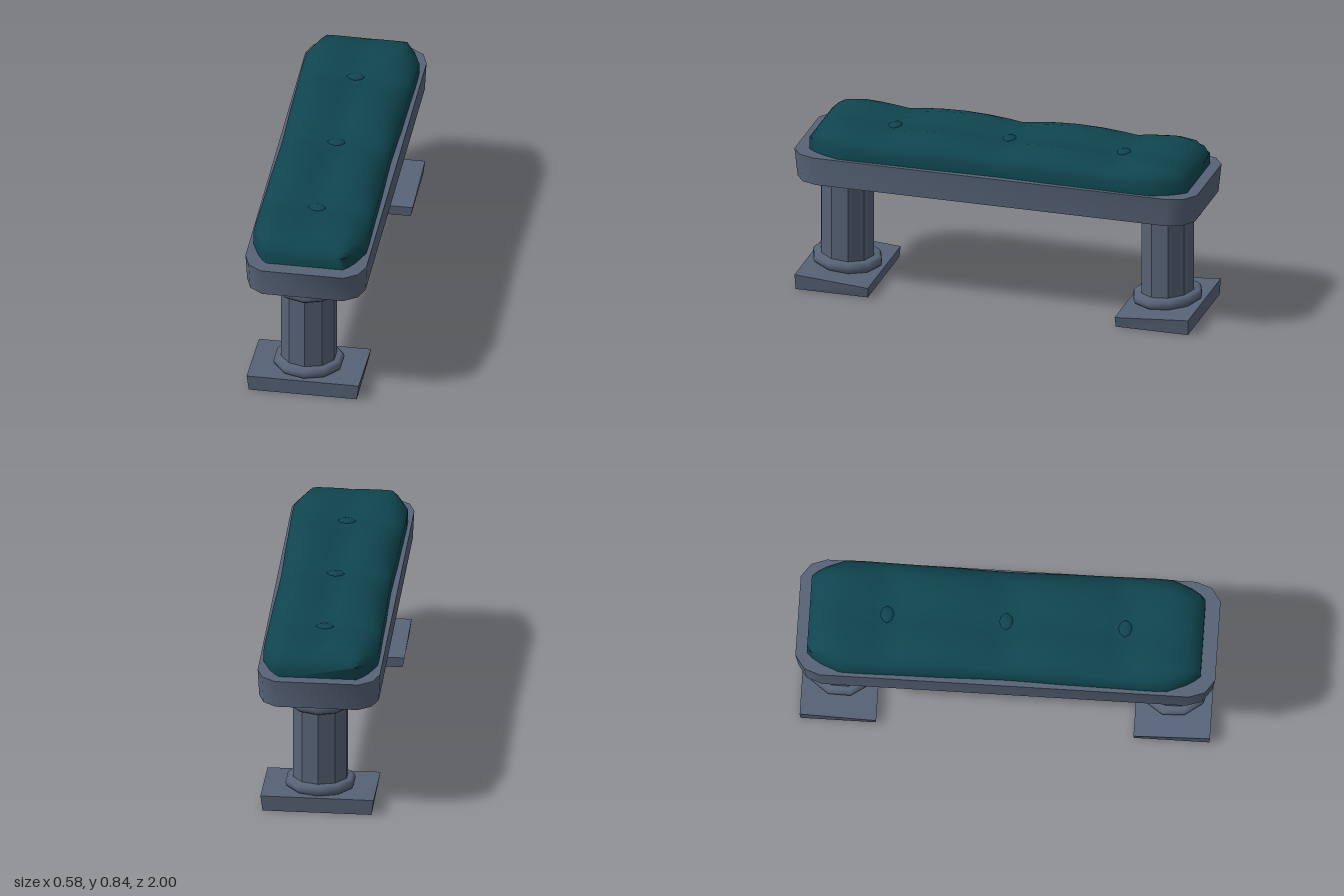
import * as THREE from 'three';
import { toCreasedNormals } from 'three/addons/utils/BufferGeometryUtils.js';

// Apply a rule to every vertex of a geometry
function warp(geometry, rule) {
  const pos = geometry.attributes.position;
  const v = new THREE.Vector3();
  for (let i = 0; i < pos.count; i++) {
    rule(v.fromBufferAttribute(pos, i));
    pos.setXYZ(i, v.x, v.y, v.z);
  }
  return geometry;
}

// Seat slab: cut-corner plan, slightly narrower underneath
function slabGeometry() {
  const corner = [[0.292, 0.88], [0.265, 0.955], [0.2, 1]];
  const back = [...corner].reverse();
  const plan = [
    ...corner,
    ...back.map(([x, y]) => [-x, y]),
    ...corner.map(([x, y]) => [-x, -y]),
    ...back.map(([x, y]) => [x, -y]),
  ].map(([x, y]) => new THREE.Vector2(x, y));
  const g = new THREE.ExtrudeGeometry(new THREE.Shape(plan), { depth: 0.14, bevelEnabled: false });
  g.rotateX(-Math.PI / 2);
  warp(g, (v) => {
    if (v.y < 0.07) { v.x *= 0.978; v.z *= 0.986; }
  });
  return toCreasedNormals(g, 0.75);
}

// Tufted cushion: cross-sections lofted along z
function cushionGeometry() {
  // [fraction of half width, height, how far it sinks at a tuft]
  const half = [
    [1, 0.69, 0], [1, 0.76, 0], [0.92, 0.788, 0.3], [0.81, 0.812, 0.6],
    [0.7, 0.825, 0.9], [0.48, 0.838, 1], [0.2, 0.822, 0.8], [0, 0.811, 0.6],
  ];
  const section = [...half, ...half.slice(0, -1).reverse().map(([x, y, d]) => [-x, y, d])];
  // [z, half width, height limit]
  const end = [
    [0.938, 0.185, 0.76], [0.91, 0.21, 0.787], [0.87, 0.235, 0.815], [0.78, 0.272, 0.826],
    [0.7, 0.274, 0.833], [0.63, 0.273, 1], [0.567, 0.272, 1], [0.5, 0.271, 1], [0.4, 0.27, 1],
    [0.28, 0.269, 1], [0.17, 0.266, 1], [0.07, 0.264, 1],
  ];
  const stations = [...end, [0, 0.263, 1], ...[...end].reverse().map(([z, w, c]) => [-z, w, c])];
  const n = section.length;
  const points = [];
  const index = [];
  stations.forEach(([z, w, limit], s) => {
    const gap = Math.min(Math.abs(z), Math.abs(Math.abs(z) - 0.567));
    const dip = 0.036 * Math.max(0, 1 - gap / 0.28) ** 2;
    section.forEach(([x, y, sink], i) => {
      points.push(x * w, Math.min(y, limit) - dip * sink, z);
      if (s > 0 && i > 0) {
        const a = (s - 1) * n + i - 1;
        const b = s * n + i - 1;
        index.push(a, b, a + 1, b, b + 1, a + 1);
      }
    });
  });
  // Flat ends
  const last = (stations.length - 1) * n;
  for (let i = 1; i < n - 1; i++) {
    index.push(0, i, i + 1, last, last + i + 1, last + i);
  }
  const g = new THREE.BufferGeometry();
  g.setAttribute('position', new THREE.Float32BufferAttribute(points, 3));
  g.setIndex(index);
  return toCreasedNormals(g, 0.95);
}

export function createModel() {
  const stone = new THREE.MeshStandardMaterial({ color: 0x576377 });
  stone.name = 'slate stone';
  const facetedStone = stone.clone();
  facetedStone.flatShading = true;
  const fabric = new THREE.MeshStandardMaterial({ color: 0x10454f, side: THREE.DoubleSide });
  fabric.name = 'teal fabric';

  const model = new THREE.Group();
  model.name = 'bench';
  const add = (parent, name, geometry, material, x = 0, y = 0, z = 0) => {
    const mesh = new THREE.Mesh(geometry, material);
    mesh.name = name;
    mesh.position.set(x, y, z);
    parent.add(mesh);
    return mesh;
  };

  add(model, 'seatSlab', slabGeometry(), stone, 0, 0.56, 0);
  add(model, 'cushion', cushionGeometry(), fabric, 0, 0, -0.008);

  // Buttons pressed into the tufts
  for (const z of [-0.575, -0.008, 0.559]) {
    const button = add(model, 'button', new THREE.SphereGeometry(1, 8, 6), fabric, 0, 0.792, z);
    button.scale.set(0.044, 0.013, 0.034);
  }

  // Leg parts, with +z as the outer side; the foot slopes down inward
  const slope = 0.075;
  const plinth = warp(new THREE.BoxGeometry(0.54, 0.064, 0.364), (v) => {
    if (v.y > 0) v.y += slope * v.z;
    else { v.x *= 0.963; v.z *= 0.985; }
  });
  const ring = (h) => [[0.1, 0], [0.152, 0], [0.165, 0.2], [0.171, 0.45], [0.168, 0.75], [0.155, 1], [0.1, 1.06]]
    .map(([r, t]) => new THREE.Vector2(r, t * h));
  const lowerCollar = warp(new THREE.LatheGeometry(ring(0.055), 10), (v) => { v.y += slope * v.z; });
  const upperCollar = new THREE.LatheGeometry(ring(0.058), 10);
  const column = new THREE.CylinderGeometry(0.135, 0.135, 0.5, 10, 1, true);
  column.scale(1, 1, 0.97);

  for (const side of [1, -1]) {
    const leg = new THREE.Group();
    leg.name = side > 0 ? 'frontLeg' : 'backLeg';
    leg.position.z = side > 0 ? 0.797 : -0.793;
    leg.rotation.y = side > 0 ? 0 : Math.PI;
    add(leg, 'plinth', plinth, facetedStone, 0, 0.032, 0);
    add(leg, 'lowerCollar', lowerCollar, stone, 0, 0.06, 0);
    add(leg, 'column', column, facetedStone, 0, 0.32, 0);
    add(leg, 'upperCollar', upperCollar, stone, 0, 0.504, 0);
    model.add(leg);
  }
  return model;
}
